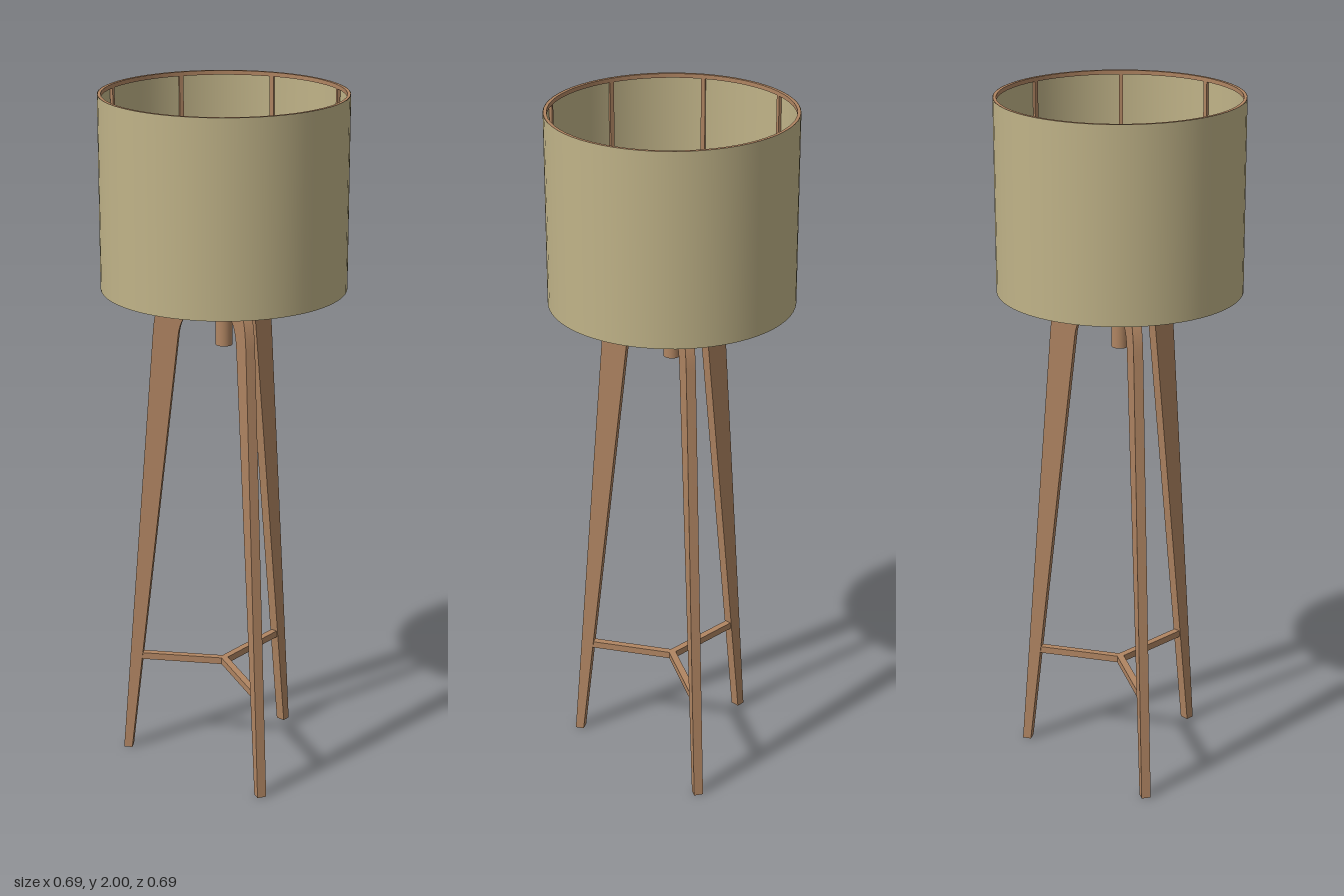
import * as THREE from 'three';
import { toCreasedNormals } from 'three/addons/utils/BufferGeometryUtils.js';

const wood = new THREE.MeshStandardMaterial({ color: 0xb08562 });
wood.name = 'wood';
const fabric = new THREE.MeshStandardMaterial({ color: 0xc0b388, side: THREE.DoubleSide });
fabric.name = 'shade fabric';
const glass = new THREE.MeshStandardMaterial({ color: 0xe6e6de });
glass.name = 'bulb glass';

const SHADE_R = 0.345, SHADE_LOW = 1.455, SHADE_TOP = 2, SPOKE_Y = 1.7;

function add(parent, name, geometry, material, x = 0, y = 0, z = 0) {
  const mesh = new THREE.Mesh(geometry, material);
  mesh.name = name;
  mesh.position.set(x, y, z);
  parent.add(mesh);
  return mesh;
}

// Tapered leg that bends over into the central post, drawn as radius against height
function legGeometry() {
  const s = new THREE.Shape();
  s.moveTo(0.279, 0);
  s.lineTo(0.304, 0);
  s.lineTo(0.201, 1.32);
  s.bezierCurveTo(0.195, 1.405, 0.165, 1.457, 0.115, 1.457);
  s.lineTo(0, 1.457);
  s.lineTo(0, 1.386);
  s.lineTo(0.062, 1.386);
  s.bezierCurveTo(0.1, 1.386, 0.125, 1.36, 0.13, 1.3);
  s.closePath();
  const g = new THREE.ExtrudeGeometry(s, { depth: 0.027, bevelEnabled: false, curveSegments: 12 });
  g.translate(0, 0, -0.0135);
  return toCreasedNormals(g, 0.5);
}

// Flat hoop lining the shade
function hoopGeometry() {
  const p = [[0.335, 0], [0.344, 0], [0.344, 0.012], [0.335, 0.012], [0.335, 0]];
  const g = new THREE.LatheGeometry(p.map(([x, y]) => new THREE.Vector2(x, y)), 64);
  return toCreasedNormals(g, 0.5);
}

export function createModel() {
  const lamp = new THREE.Group();
  lamp.name = 'tripodFloorLamp';

  // Three legs, each with its arm of the lower stretcher
  const leg = legGeometry();
  for (let i = 0; i < 3; i++) {
    const side = new THREE.Group();
    side.name = 'legAssembly';
    side.rotation.y = -Math.PI / 2 + (i * Math.PI * 2) / 3;
    add(side, 'leg', leg, wood);
    add(side, 'stretcher', new THREE.BoxGeometry(0.252, 0.02, 0.02), wood, 0.126, 0.305, 0);
    lamp.add(side);
  }

  // Central post and hexagonal hub
  const postLow = 1.286;
  add(lamp, 'post', new THREE.CylinderGeometry(0.024, 0.024, SPOKE_Y - postLow, 24),
    wood, 0, (SPOKE_Y + postLow) / 2, 0);
  const hub = new THREE.CylinderGeometry(0.058, 0.058, 0.03, 6);
  hub.rotateY(Math.PI / 6);
  add(lamp, 'hub', toCreasedNormals(hub, 0.5), wood, 0, SPOKE_Y, 0);

  // Bulb with a narrow neck
  const bulb = [[0.018, 1.71], [0.018, 1.76], [0.024, 1.785]];
  for (let i = 0; i <= 10; i++) {
    const a = -0.5 + (i / 10) * (Math.PI / 2 + 0.5);
    bulb.push([Math.max(0, 0.033 * Math.cos(a)), 1.817 + 0.033 * Math.sin(a)]);
  }
  add(lamp, 'bulb', new THREE.LatheGeometry(bulb.map(([x, y]) => new THREE.Vector2(x, y)), 24), glass);

  // Shade: fabric drum, two hoops, upright ribs and four spokes
  const shade = new THREE.Group();
  shade.name = 'shade';
  lamp.add(shade);
  const height = SHADE_TOP - SHADE_LOW;
  const middle = (SHADE_TOP + SHADE_LOW) / 2;
  add(shade, 'shadeFabric', new THREE.CylinderGeometry(SHADE_R, SHADE_R, height, 64, 1, true),
    fabric, 0, middle, 0);
  const hoop = hoopGeometry();
  add(shade, 'lowerHoop', hoop, wood, 0, SHADE_LOW, 0);
  add(shade, 'upperHoop', hoop, wood, 0, SHADE_TOP - 0.012, 0);
  for (let i = 0; i < 8; i++) {
    const arm = new THREE.Group();
    arm.name = 'shadeFrame';
    arm.rotation.y = (i * Math.PI) / 4;
    add(arm, 'rib', new THREE.BoxGeometry(0.008, height - 0.02, 0.012), wood, 0.339, middle, 0);
    if (i % 2 === 0) {
      add(arm, 'spoke', new THREE.BoxGeometry(0.295, 0.01, 0.009), wood, 0.1895, SPOKE_Y, 0);
    }
    shade.add(arm);
  }
  return lamp;
}
